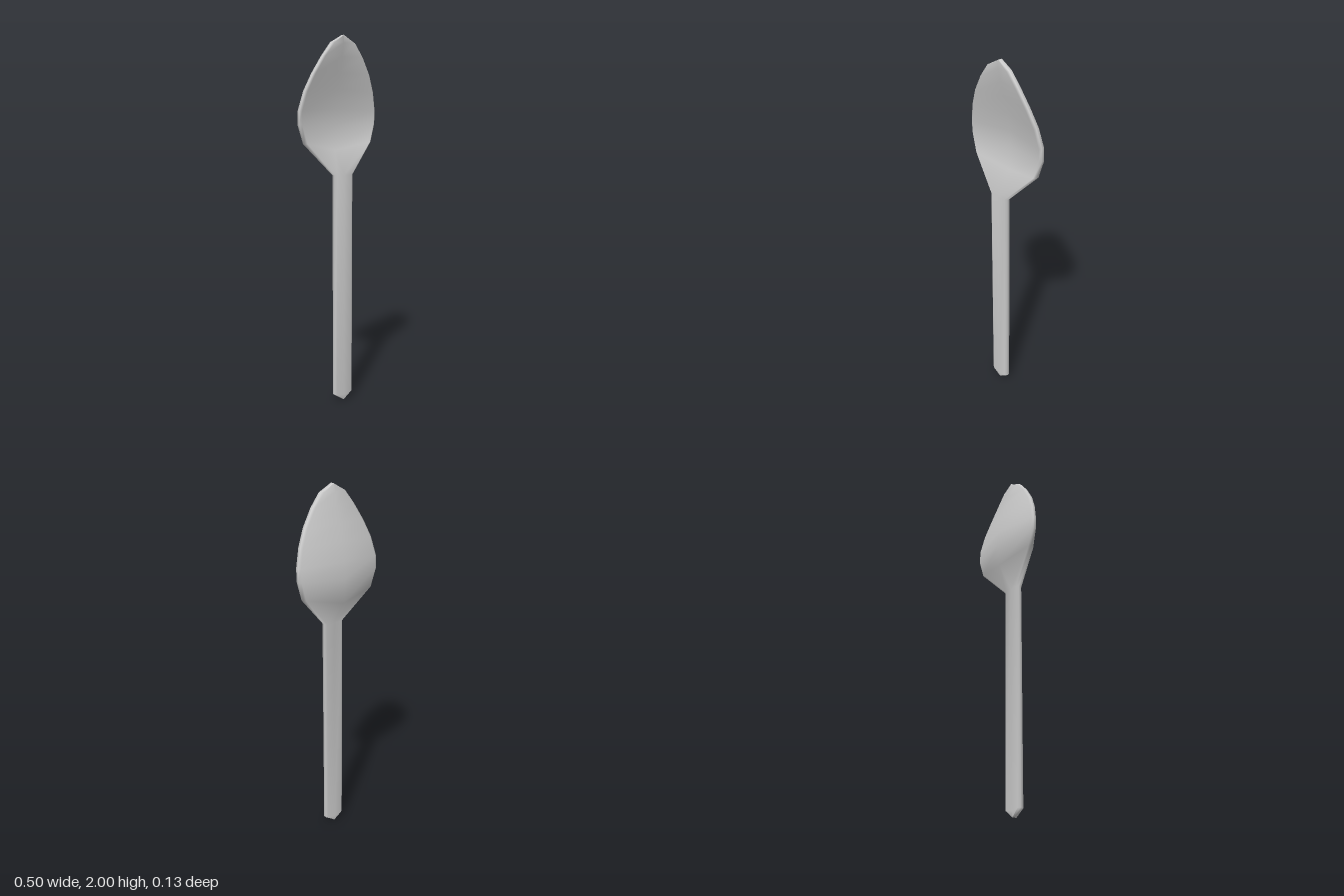
import * as THREE from 'three';

const THICK = 0.035;

// Stations from handle tip to bowl tip:
// [rim y, half width, rim front z, centre y, centre front z]
const stations = [
  [0.0, 0, 0.065, 0.0, 0.065],
  [0.04, 0.06, 0.065, 0.03, 0.065],
  [1.27, 0.06, 0.065, 1.27, 0.065],
  [1.44, 0.22, 0.022, 1.40, -0.018],
  [1.54, 0.25, 0.017, 1.53, -0.029],
  [1.61, 0.25, 0.02, 1.62, -0.021],
  [1.71, 0.225, 0.034, 1.72, 0.0],
  [1.80, 0.185, 0.05, 1.81, 0.021],
  [1.89, 0.13, 0.061, 1.89, 0.041],
  [1.96, 0.075, 0.065, 1.96, 0.056],
  [2.0, 0, 0.063, 2.0, 0.063],
];

// Cross-section loop: folded front and back faces joined by a rounded rim
function section([y, w, z, cy, cz]) {
  const inset = Math.min(0.012, w);
  const tip = w === 0 ? 0.005 : 0; // the two ends are slightly thinner
  const rim = [
    [w - inset, y, z - tip],
    [w, y, z - 0.009],
    [w, y, z - THICK + 0.009],
    [w - inset, y, z - THICK + tip],
  ];
  const mirrored = rim.map(([px, py, pz]) => [-px, py, pz]).reverse();
  return [[0, cy, cz - tip], ...rim, [0, cy, cz - THICK + tip], ...mirrored];
}

// Skin the cross-sections with one smooth surface
function loft(sections) {
  const n = sections[0].length;
  const index = [];
  for (let i = 0; i < sections.length - 1; i++) {
    for (let j = 0; j < n; j++) {
      const k = (j + 1) % n;
      const a = i * n + j, b = i * n + k, c = b + n, d = a + n;
      index.push(a, b, c, a, c, d);
    }
  }
  const geometry = new THREE.BufferGeometry();
  geometry.setAttribute('position', new THREE.Float32BufferAttribute(sections.flat(2), 3));
  geometry.setIndex(index);
  geometry.computeVertexNormals();
  return geometry;
}

export function createModel() {
  const group = new THREE.Group();
  group.name = 'spoon';
  const material = new THREE.MeshStandardMaterial({ color: 0xcccccc });

  // Handle and bowl flow into each other as a single skin
  const body = new THREE.Mesh(loft(stations.map(section)), material);
  body.name = 'handleAndBowl';
  group.add(body);
  return group;
}
